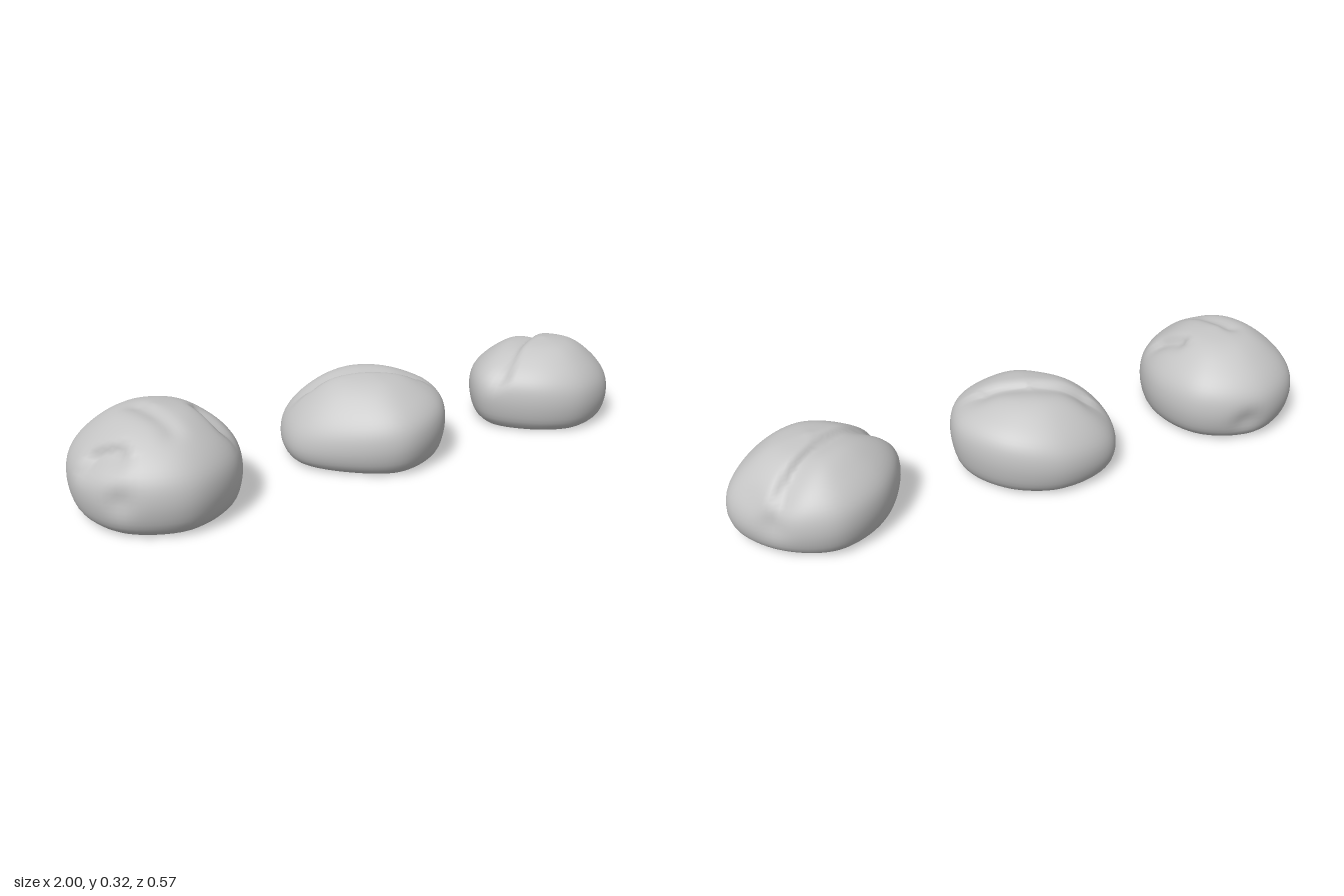
import * as THREE from 'three';
import { mergeVertices } from 'three/addons/utils/BufferGeometryUtils.js';

const AROUND = 72, RINGS = 44;

// Half section from the underside to the crown: share of the outline, share of the height
const profile = new THREE.SplineCurve([
  [0, 0.04], [0.68, 0], [0.84, 0.025], [0.95, 0.14], [1, 0.36],
  [0.945, 0.57], [0.74, 0.77], [0.42, 0.94], [0, 1],
].map(([r, y]) => new THREE.Vector2(r, y)));

// Plan outline from eight radii, one every 45 degrees from +x towards +z
function planOutline(x, z, radii) {
  const points = radii.map((r, i) => {
    const angle = (i * Math.PI) / 4;
    return new THREE.Vector3(x + r * Math.cos(angle), 0, z + r * Math.sin(angle));
  });
  return new THREE.CatmullRomCurve3(points, true).getSpacedPoints(AROUND);
}

// Straight fold on the upper side, steeper on one flank than on the other, like overlapping dough
function fold(ax, az, bx, bz, depth, left, right) {
  const dx = bx - ax, dz = bz - az;
  return (p, height) => {
    const t = THREE.MathUtils.clamp(((p.x - ax) * dx + (p.z - az) * dz) / (dx * dx + dz * dz), 0, 1);
    const distance = Math.hypot(p.x - ax - t * dx, p.z - az - t * dz);
    const width = dx * (p.z - az) - dz * (p.x - ax) > 0 ? right : left;
    const upper = THREE.MathUtils.smoothstep(p.y, height * 0.4, height * 0.65);
    return upper * depth * Math.exp(-((distance / width) ** 2));
  };
}

// Round dent anywhere on the surface
function dent(x, y, z, depth, width) {
  const middle = new THREE.Vector3(x, y, z);
  return (p) => depth * Math.exp(-p.distanceToSquared(middle) / width ** 2);
}

function makeRoll(name, material, { x, z, height, tilt, radii, marks }) {
  const rim = planOutline(x, z, radii);
  const centre = new THREE.Vector3(x, height * 0.4, z);
  const positions = [], index = [];
  const p = new THREE.Vector3(), inward = new THREE.Vector3();

  profile.getSpacedPoints(RINGS).forEach((s, j) => {
    const share = j === 0 || j === RINGS ? 0 : s.x;
    for (let i = 0; i < AROUND; i++) {
      p.set(x + (rim[i].x - x) * share, s.y * height, z + (rim[i].z - z) * share);
      // Lean the belly of the roll to one side
      p.y += tilt * (p.x - x) * Math.max(0, Math.sin(Math.PI * s.y));
      // Press in the folds and dents
      const press = marks.reduce((sum, mark) => sum + mark(p, height), 0);
      inward.subVectors(centre, p).normalize();
      p.addScaledVector(inward, press);
      positions.push(p.x, Math.max(0, p.y), p.z);

      const a = j * AROUND + i, b = j * AROUND + (i + 1) % AROUND;
      if (j > 0 && j < RINGS) index.push(a, a + AROUND, b);
      if (j < RINGS - 1) index.push(b, a + AROUND, b + AROUND);
    }
  });

  const geometry = new THREE.BufferGeometry();
  geometry.setAttribute('position', new THREE.Float32BufferAttribute(positions, 3));
  geometry.setIndex(index);
  const merged = mergeVertices(geometry, 1e-5);
  merged.computeVertexNormals();
  const mesh = new THREE.Mesh(merged, material);
  mesh.name = name;
  return mesh;
}

export function createModel() {
  const group = new THREE.Group();
  group.name = 'breadRolls';
  const dough = new THREE.MeshStandardMaterial({ color: 0xc4c4c4 });
  dough.name = 'dough grey';

  // Tall roll with a notched crown and dented shoulders
  group.add(makeRoll('rightRoll', dough, {
    x: -0.74, z: 0, height: 0.318, tilt: 0,
    radii: [0.252, 0.262, 0.283, 0.275, 0.26, 0.275, 0.283, 0.27],
    marks: [
      fold(-0.78, -0.02, -0.74, 0.15, 0.012, 0.03, 0.03),
      fold(-0.96, 0.06, -0.9, 0.13, 0.025, 0.02, 0.04),
      fold(-0.6, 0.02, -0.57, 0.1, 0.02, 0.03, 0.02),
      dent(-0.7, 0.08, -0.28, 0.018, 0.05),
      dent(-0.93, 0.12, 0.2, 0.015, 0.04),
    ],
  }));

  // Roll with one overlapping fold across the crown
  group.add(makeRoll('middleRoll', dough, {
    x: 0, z: -0.02, height: 0.29, tilt: 0.12,
    radii: [0.263, 0.262, 0.26, 0.235, 0.278, 0.29, 0.265, 0.25],
    marks: [fold(-0.16, -0.1, 0.14, 0.03, 0.022, 0.055, 0.018)],
  }));

  // Roll with a long diagonal fold ending in a dent at the back
  group.add(makeRoll('leftRoll', dough, {
    x: 0.73, z: -0.01, height: 0.292, tilt: -0.05,
    radii: [0.27, 0.235, 0.226, 0.225, 0.27, 0.255, 0.262, 0.25],
    marks: [
      fold(0.51, 0.05, 0.87, -0.16, 0.02, 0.05, 0.018),
      dent(0.93, 0.12, -0.2, 0.022, 0.05),
      dent(0.96, 0.17, -0.1, 0.01, 0.06),
    ],
  }));
  return group;
}
